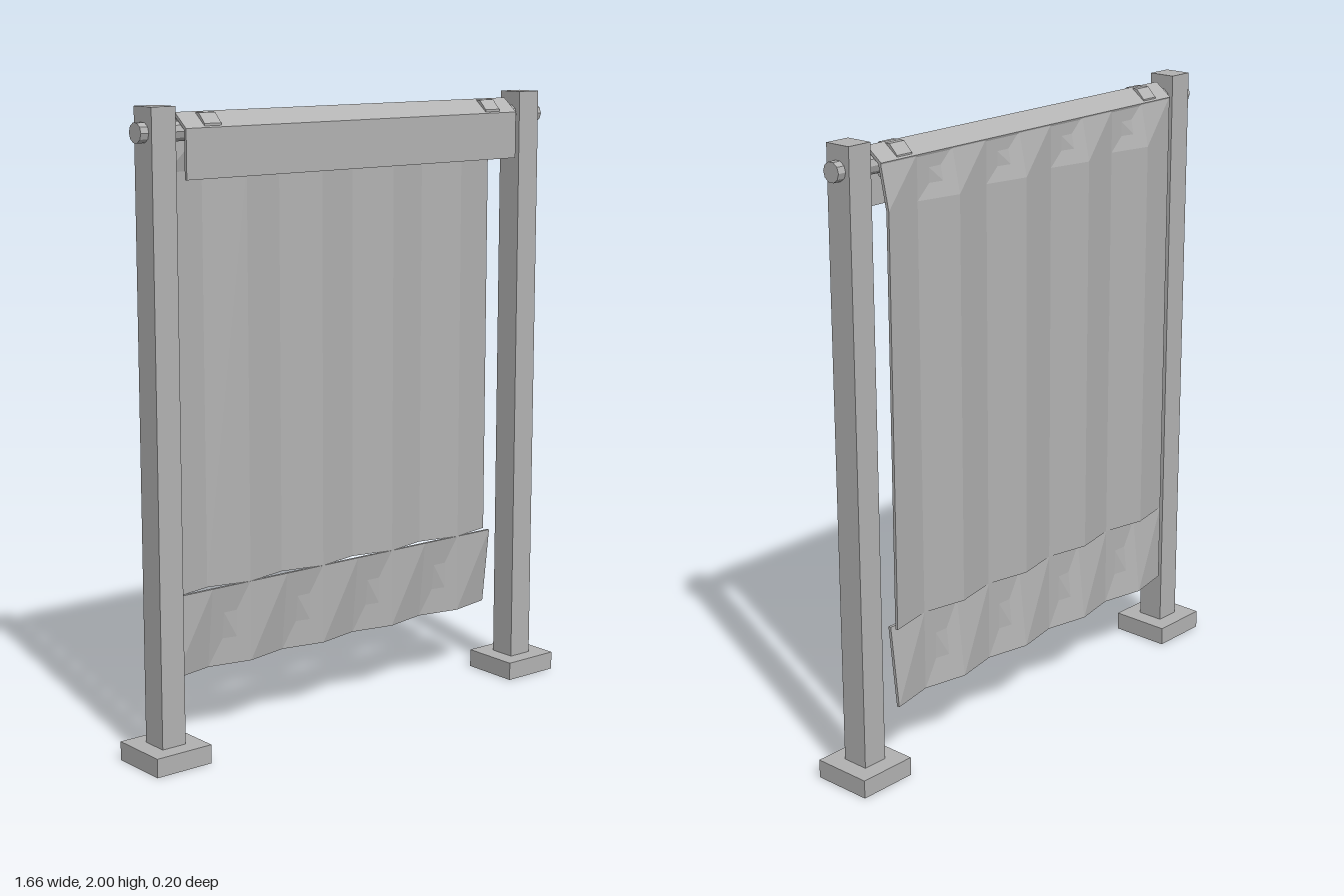
import * as THREE from 'three';

const grey = new THREE.MeshStandardMaterial({ color: 0xb2b2b2, side: THREE.DoubleSide, flatShading: true });
grey.name = 'grey';

const HALF = 0.66;    // half width of the cloth
const FOLDS = 9;      // pleat faces across the cloth
const ROD_Y = 1.925;

function add(parent, name, geometry, x = 0, y = 0, z = 0) {
  const mesh = new THREE.Mesh(geometry, grey);
  mesh.name = name;
  mesh.position.set(x, y, z);
  parent.add(mesh);
  return mesh;
}

// Thin pleated sheet; each level is { y, depth }, depth being how far the folds stand out
function pleatedSheet(levels) {
  const pos = [];
  const point = (level, i, back) => [
    -HALF + (2 * HALF * i) / FOLDS,
    level.y,
    -0.045 - (i % 2) * level.depth - (back ? 0.01 : 0),
  ];
  const quad = (a, b, c, d) => pos.push(...a, ...b, ...c, ...a, ...c, ...d);

  for (let k = 0; k < levels.length - 1; k++) {
    const lo = levels[k], hi = levels[k + 1];
    for (let i = 0; i < FOLDS; i++) {
      quad(point(lo, i, 0), point(lo, i + 1, 0), point(hi, i + 1, 0), point(hi, i, 0));
      quad(point(lo, i + 1, 1), point(lo, i, 1), point(hi, i, 1), point(hi, i + 1, 1));
    }
    // side edges
    quad(point(lo, 0, 1), point(lo, 0, 0), point(hi, 0, 0), point(hi, 0, 1));
    quad(point(lo, FOLDS, 0), point(lo, FOLDS, 1), point(hi, FOLDS, 1), point(hi, FOLDS, 0));
  }
  // bottom and top edges
  const lo = levels[0], hi = levels[levels.length - 1];
  for (let i = 0; i < FOLDS; i++) {
    quad(point(lo, i, 0), point(lo, i, 1), point(lo, i + 1, 1), point(lo, i + 1, 0));
    quad(point(hi, i, 0), point(hi, i + 1, 0), point(hi, i + 1, 1), point(hi, i, 1));
  }
  const geometry = new THREE.BufferGeometry();
  geometry.setAttribute('position', new THREE.Float32BufferAttribute(pos, 3));
  geometry.computeVertexNormals();
  return geometry;
}

export function createModel() {
  const model = new THREE.Group();
  model.name = 'hangingCurtainFrame';

  // Posts, feet and the rings around the rod
  for (const [side, s] of [['left', 1], ['right', -1]]) {
    add(model, side + 'Foot', new THREE.BoxGeometry(0.2, 0.06, 0.2), s * 0.73, 0.03, 0);
    add(model, side + 'Post', new THREE.BoxGeometry(0.085, 1.94, 0.09), s * 0.73, 1.03, 0);
    const ring = new THREE.CylinderGeometry(0.056, 0.056, 0.06, 8);
    ring.rotateY(Math.PI / 8).rotateZ(Math.PI / 2);
    add(model, side + 'Ring', ring, s * 0.56, ROD_Y, 0);
  }

  // Rod through both posts
  const rod = new THREE.CylinderGeometry(0.031, 0.031, 1.6, 10).rotateZ(Math.PI / 2);
  add(model, 'rod', rod, 0, ROD_Y, 0);

  // Cloth folded over the rod, hanging down in front as a valance (profile in z, y)
  const profile = new THREE.Shape([
    [-0.058, 1.937], [0, 1.98], [0.057, 1.935], [0.057, 1.785],
    [0.047, 1.785], [0.047, 1.93], [0, 1.968], [-0.054, 1.927],
  ].map(([z, y]) => new THREE.Vector2(-z, y)));
  const valance = new THREE.ExtrudeGeometry(profile, { depth: 2 * HALF, bevelEnabled: false });
  valance.translate(0, 0, -HALF).rotateY(Math.PI / 2);
  add(model, 'valance', valance);

  // Pleated curtain, gathered flat at the top
  add(model, 'curtain', pleatedSheet([
    { y: 0.5, depth: 0.03 }, { y: 1.8, depth: 0.03 }, { y: 1.938, depth: 0 },
  ]));

  // Hem, straight along its top and flaring into the pleats
  add(model, 'hem', pleatedSheet([{ y: 0.24, depth: 0.03 }, { y: 0.5, depth: 0 }]));

  return model;
}
